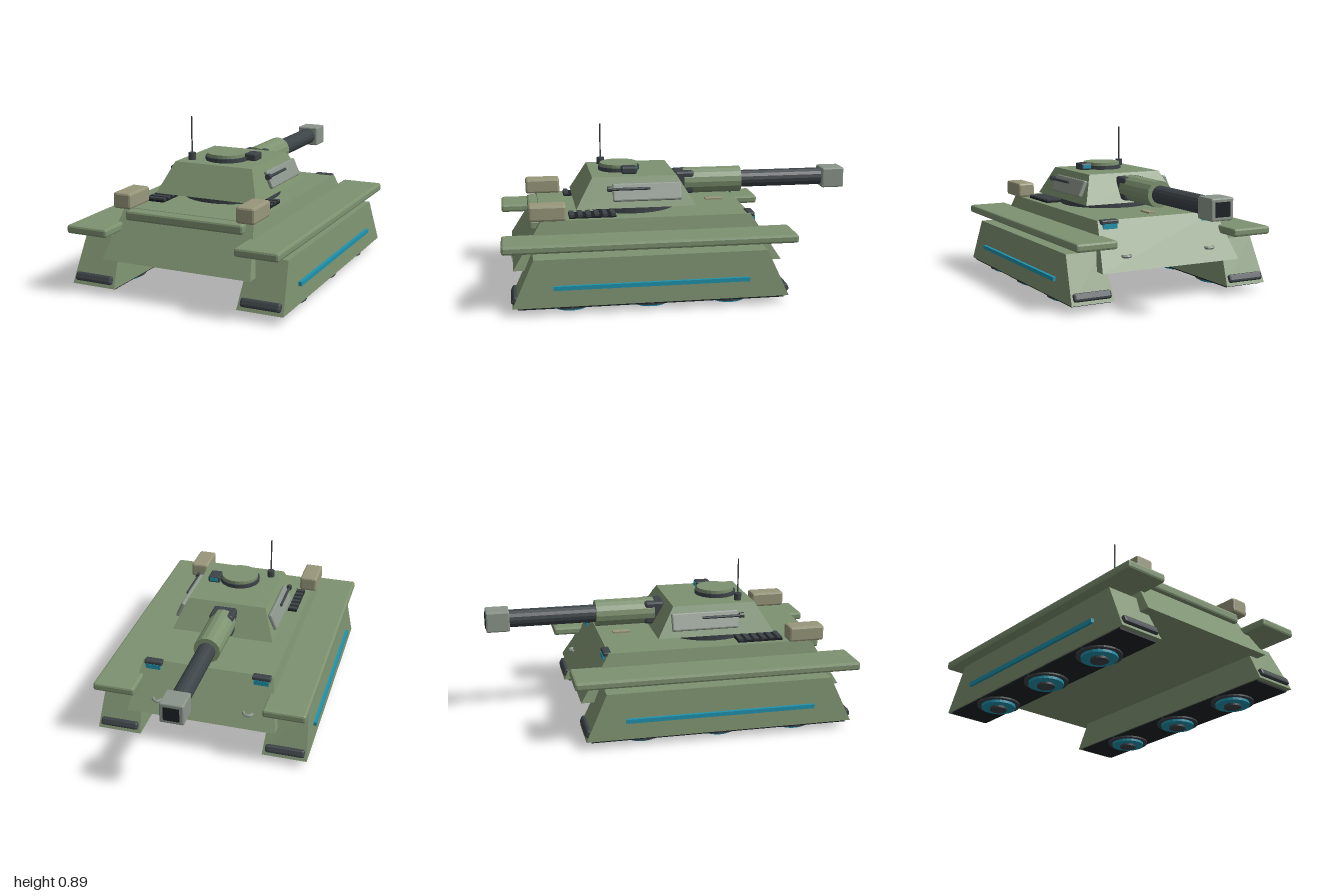
import * as THREE from 'three';
import { RoundedBoxGeometry } from 'three/addons/geometries/RoundedBoxGeometry.js';

const mat = (color) => new THREE.MeshStandardMaterial({ color, flatShading: true });

export function createModel() {
  const tank = new THREE.Group();
  tank.name = 'hoverTank';
  const green = mat(0x7d9270), dark = mat(0x3c4347), black = mat(0x1c2124);
  const cyan = mat(0x1f93ad), tan = mat(0x98977b), grey = mat(0x8b958b);

  const add = (name, geometry, material, x = 0, y = 0, z = 0, parent = tank) => {
    const mesh = new THREE.Mesh(geometry, material);
    mesh.name = name;
    mesh.position.set(x, y, z);
    parent.add(mesh);
    return mesh;
  };
  const box = (w, h, d) => new THREE.BoxGeometry(w, h, d);
  const bevel = (w, h, d, r) => new RoundedBoxGeometry(w, h, d, 1, r);
  const disc = (r, h, n = 24) => new THREE.CylinderGeometry(r, r, h, n);
  const rod = (r, length, n = 16) => disc(r, length, n).rotateX(Math.PI / 2);

  // Block with sloped sides; each rectangle is [x0, x1, z0, z1]
  const frustum = (y0, y1, bottom, top) => {
    const g = box(1, 1, 1), p = g.attributes.position;
    for (let i = 0; i < p.count; i++) {
      const r = p.getY(i) > 0 ? top : bottom;
      p.setXYZ(i, p.getX(i) < 0 ? r[0] : r[1], p.getY(i) > 0 ? y1 : y0, p.getZ(i) < 0 ? r[2] : r[3]);
    }
    g.computeVertexNormals();
    return g;
  };

  // Hull
  add('hull', frustum(0.197, 0.45, [-0.425, 0.425, -0.525, 0.94], [-0.373, 0.373, -0.362, 0.785]), green);
  add('hullEndLip', bevel(0.675, 0.053, 0.09, 0.012), green, 0, 0.42, 0.8);
  add('deckHatch', box(0.04, 0.014, 0.1), tan, -0.01, 0.452, -0.23);

  // Parts mirrored on both sides
  for (const s of [-1, 1]) {
    const side = new THREE.Group();
    side.name = s > 0 ? 'leftSide' : 'rightSide';
    tank.add(side);
    const put = (name, g, m, x, y, z) => add(name, g, m, s * x, y, z, side);
    const span = (a, b) => (s > 0 ? [a, b] : [-b, -a]);

    // Hover pod, skirt strip and fender
    put('hoverPod', frustum(0.045, 0.297, [...span(0.353, 0.605), -0.525, 0.95],
      [...span(0.376, 0.583), -0.41, 0.835]), green, 0, 0, 0);
    put('podUnderside', box(0.232, 0.012, 1.42), black, 0.479, 0.041, 0.2125);
    put('lightStrip', box(0.022, 0.022, 1.045), cyan, 0.602, 0.148, 0.213);
    put('fender', bevel(0.238, 0.046, 1.575, 0.012), green, 0.48, 0.355, 0.21);
    for (const e of [-1, 1]) {
      const bumper = put('podBumper', bevel(0.22, 0.046, 0.034, 0.012), dark, 0.48, 0.084, 0.2125 + e * 0.722);
      bumper.rotation.x = -e * 0.43;
    }

    // Hover thrusters
    for (const z of [-0.212, 0.214, 0.64]) {
      put('thrusterRim', disc(0.117, 0.018), dark, 0.479, 0.035, z);
      put('thrusterGlow', disc(0.093, 0.016), cyan, 0.479, 0.02, z);
      put('thrusterHub', disc(0.047, 0.016), dark, 0.479, 0.008, z);
    }

    // Stowage box and slatted engine vent
    put('stowageBox', bevel(0.104, 0.086, 0.2, 0.012), tan, 0.353, 0.497, 0.75);
    put('ventBase', box(0.11, 0.014, 0.255), black, 0.284, 0.455, 0.503);
    for (let i = 0; i < 6; i++) put('ventSlat', box(0.11, 0.014, 0.026), dark, 0.284, 0.464, 0.39 + i * 0.045);

    // Hooded lamp and tow ring on the sloped plate
    put('lampHood', bevel(0.105, 0.026, 0.045, 0.008), dark, 0.31, 0.442, -0.368);
    put('lamp', box(0.085, 0.028, 0.035), cyan, 0.31, 0.42, -0.375);
    put('towRing', new THREE.TorusGeometry(0.024, 0.009, 6, 14).rotateX(Math.PI / 2), grey, 0.26, 0.27, -0.475);

    // Turret side panel with a rod along it
    const panel = put('turretPanel', bevel(0.024, 0.1, 0.38, 0.008), grey, 0.275, 0.571, 0.198);
    panel.rotation.z = s * 0.41;
    put('panelRod', rod(0.008, 0.23, 8), dark, 0.285, 0.592, 0.297);
    put('panelRodHead', rod(0.016, 0.025, 10), dark, 0.284, 0.594, 0.405);
  }

  // Turret
  const turret = new THREE.Group();
  turret.name = 'turret';
  tank.add(turret);
  const onTurret = (name, g, m, x, y, z) => add(name, g, m, x, y, z, turret);
  onTurret('turretRing', disc(0.27, 0.045, 32), dark, 0, 0.469, 0.265);
  onTurret('turretBody', frustum(0.488, 0.65, [-0.296, 0.296, -0.072, 0.59], [-0.228, 0.228, 0.026, 0.495]), green, 0, 0, 0);

  // Cupola, periscope and antenna
  onTurret('cupolaRing', disc(0.117, 0.024, 28), dark, 0, 0.66, 0.325);
  onTurret('cupolaLid', disc(0.107, 0.02, 28), green, 0, 0.68, 0.325);
  onTurret('periscope', bevel(0.07, 0.04, 0.085, 0.008), dark, 0.138, 0.671, 0.283);
  onTurret('periscopeLens', box(0.05, 0.022, 0.01), cyan, 0.138, 0.672, 0.242);
  onTurret('antennaBase', disc(0.021, 0.04, 12), dark, -0.168, 0.669, 0.414);
  onTurret('antenna', disc(0.004, 0.2, 6), dark, -0.168, 0.788, 0.414);

  // Gun, pointing to -z
  onTurret('mantlet', bevel(0.136, 0.132, 0.115, 0.014), dark, 0, 0.57, -0.045);
  onTurret('gunSleeve', rod(0.075, 0.335), green, 0, 0.571, -0.212);
  onTurret('gunBarrel', rod(0.05, 0.6), dark, 0, 0.57, -0.63);
  onTurret('muzzle', bevel(0.13, 0.116, 0.13, 0.008), grey, 0, 0.569, -0.93);
  onTurret('muzzleBore', box(0.085, 0.075, 0.01), black, 0, 0.569, -0.995);
  return tank;
}
